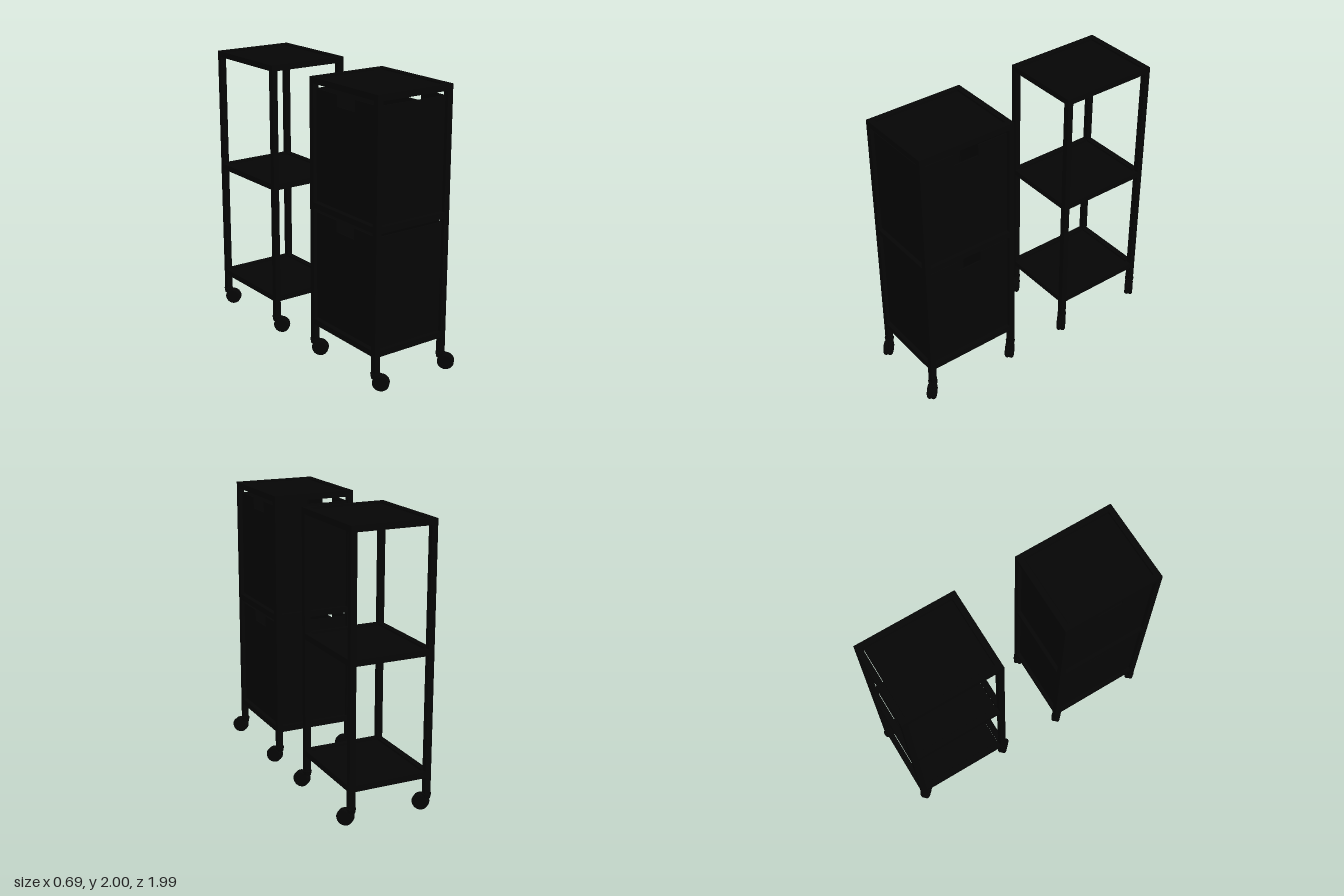
import * as THREE from 'three';

const black = new THREE.MeshStandardMaterial({ color: 0x050505 });
const W = 0.61, D = 0.733, T = 0.042; // cart footprint and tube thickness
const X = (W - T) / 2, Z = (D - T) / 2; // post centres
const RAILS = [0.262, 1.119, 1.979]; // rail centre heights

function add(parent, name, geometry, x = 0, y = 0, z = 0) {
  const mesh = new THREE.Mesh(geometry, black);
  mesh.name = name;
  mesh.position.set(x, y, z);
  parent.add(mesh);
  return mesh;
}
const box = (w, h, d) => new THREE.BoxGeometry(w, h, d);

// Swivel caster: hub under the post, fender plate and two rounded rollers
function caster() {
  const g = new THREE.Group();
  g.name = 'caster';
  add(g, 'casterHub', new THREE.CylinderGeometry(0.034, 0.028, 0.034, 20), 0, 0.105, 0);
  add(g, 'casterNeck', box(0.04, 0.03, 0.05), 0, 0.095, 0.02);
  add(g, 'casterFender', new THREE.CylinderGeometry(0.055, 0.055, 0.012, 24), 0, 0.058, 0.038).rotation.z = Math.PI / 2;
  const profile = [[0, 0.004], [0.054, 0.004], [0.058, 0.009], [0.058, 0.018], [0.054, 0.026], [0.046, 0.031], [0, 0.031]]
    .map(([r, y]) => new THREE.Vector2(r, y));
  const roller = new THREE.LatheGeometry(profile, 24);
  for (const s of [-1, 1]) add(g, 'casterWheel', roller, 0, 0.058, 0.038).rotation.z = s * Math.PI / 2;
  g.rotation.y = Math.PI / 4;
  return g;
}

// Posts, rails, shelves and casters
function cart(name) {
  const g = new THREE.Group();
  g.name = name;
  for (const sx of [-1, 1]) for (const sz of [-1, 1]) {
    add(g, 'post', box(T, 1.88, T), sx * X, 1.06, sz * Z);
    const c = caster();
    c.position.set(sx * X, 0, sz * Z);
    g.add(c);
  }
  for (const y of RAILS) {
    for (const s of [-1, 1]) {
      add(g, 'crossRail', box(W - 2 * T, T, T), 0, y, s * Z);
      add(g, 'sideRail', box(T, T, D - 2 * T), s * X, y, 0);
    }
    // Shelf plate, slightly below the rail tops with a narrow slot around it
    add(g, 'shelf', box(W - 2 * T - 0.01, 0.012, D - 2 * T - 0.01), 0, y + 0.004, 0);
  }
  return g;
}

// Bin with plain front and back walls and a hand notch in each side wall
function bin(y) {
  const g = new THREE.Group();
  g.name = 'bin';
  const h = 0.775, t = 0.012, w = W - 2 * T, d = D - 2 * T, inset = 0.032;
  for (const s of [-1, 1]) add(g, 'binEndWall', box(w, h, t), 0, h / 2, s * (D / 2 - inset));
  const a = d / 2, n = 0.096;
  const shape = new THREE.Shape([
    [-a, 0], [a, 0], [a, h], [n, h], [n, h - 0.08], [-n, h - 0.08], [-n, h], [-a, h],
  ].map(([u, v]) => new THREE.Vector2(u, v)));
  const side = new THREE.ExtrudeGeometry(shape, { depth: t, bevelEnabled: false });
  side.translate(0, 0, -t / 2).rotateY(Math.PI / 2);
  for (const s of [-1, 1]) add(g, 'binSideWall', side, s * (W / 2 - inset), 0, 0);
  add(g, 'binFloor', box(w, 0.008, d), 0, 0.004, 0);
  g.position.y = y;
  return g;
}

export function createModel() {
  const model = new THREE.Group();
  model.name = 'storageCarts';
  const front = cart('cartWithBins');
  front.add(bin(0.29), bin(1.146));
  front.position.set(-0.025, 0, 0.57);
  const back = cart('openCart');
  back.position.set(-0.025, 0, -0.613);
  model.add(front, back);
  return model;
}
